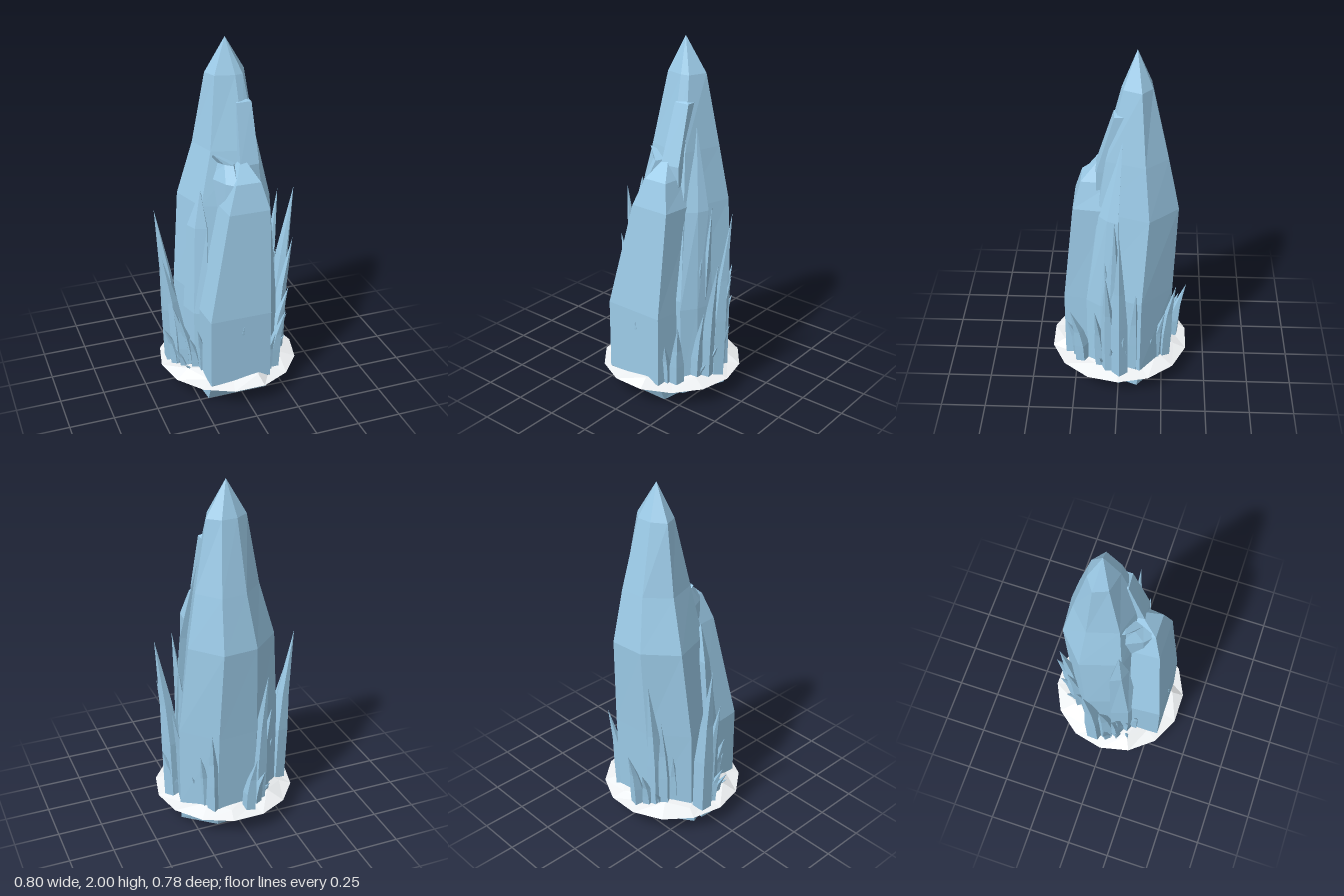
import * as THREE from 'three';

const ice = new THREE.MeshStandardMaterial({ color: 0x9ccbe8, flatShading: true });
const snow = new THREE.MeshStandardMaterial({ color: 0xeef1f3, flatShading: true, side: THREE.DoubleSide });

let seed = 11;
const rnd = () => (seed = (seed * 16807) % 2147483647) / 2147483647;

// Faceted solid through rings of points (clockwise seen from above), closed by a tip and a flat foot
function facetedMesh(name, rings, tip) {
  const pos = [], n = rings[0].length, top = rings[rings.length - 1];
  const tri = (...corners) => corners.forEach(c => pos.push(...c));
  const foot = [0, 1, 2].map(k => rings[0].reduce((sum, p) => sum + p[k], 0) / n);
  for (let i = 0; i < n; i++) {
    const j = (i + 1) % n;
    tri(foot, rings[0][i], rings[0][j]);
    for (let r = 0; r < rings.length - 1; r++) {
      const a = rings[r], b = rings[r + 1];
      tri(a[i], b[i], a[j]);
      tri(a[j], b[i], b[j]);
    }
    tri(top[i], tip, top[j]);
  }
  const geometry = new THREE.BufferGeometry();
  geometry.setAttribute('position', new THREE.Float32BufferAttribute(pos, 3));
  geometry.computeVertexNormals();
  const mesh = new THREE.Mesh(geometry, ice);
  mesh.name = name;
  return mesh;
}

// One x, z outline repeated at levels of [height, x scale, z scale, x shift, z shift]
function crystal(name, outline, levels, tip) {
  const rings = levels.map(([y, sx = 1, sz = 1, ox = 0, oz = 0]) =>
    outline.map(([x, z]) => [x * sx + ox, y, z * sz + oz]));
  return facetedMesh(name, rings, tip);
}

// Thin spike that leans outward to its tip, with uneven sides
function spike(name, x, y, z, r, lean = 0.78, base = 0.07) {
  const turn = rnd() * 6;
  const wobble = Array.from({ length: 5 }, () => 0.8 + 0.4 * rnd());
  const level = (t, size) => wobble.map((w, i) => {
    const a = turn + i / 5 * Math.PI * 2;
    const out = lean + (1 - lean) * t * t;
    return [x * out + Math.cos(a) * r * size * w,
      base + (y - base) * t * (0.85 + 0.15 * w),
      z * out + Math.sin(a) * r * size * w];
  });
  return facetedMesh(name, [level(0, 0.85), level(0.38, 0.85), level(0.62, 0.55)], [x, y, z]);
}

export function createModel() {
  const model = new THREE.Group();
  model.name = 'iceSpire';

  // Tall main crystal
  model.add(crystal('mainCrystal',
    [[-0.09, -0.28], [0.14, -0.3], [0.31, -0.13], [0.2, 0.17], [0.08, 0.2], [-0.2, 0.12], [-0.28, -0.12]],
    [[0, 1, 0.82, -0.01], [0.12, 1, 0.95], [0.6], [1.12, 0.85, 0.92, 0, -0.045],
      [1.42, 0.62, 0.7, 0.02, -0.05], [1.81, 0.38, 0.32, 0.02, -0.075]],
    [0.02, 2, -0.09]));

  // Broad crystal leaning against the front
  model.add(crystal('frontCrystal',
    [[-0.22, 0.04], [0.19, 0.05], [0.15, 0.31], [-0.08, 0.31], [-0.2, 0.31]],
    [[0, 1, 0.82], [0.12], [0.53], [1.13, 0.66, 0.8, 0.06], [1.28, 0.4, 0.66, 0.06]],
    [0.05, 1.4, 0.09]));

  // Flat upper slab and the wedge beside it
  model.add(crystal('upperSlab',
    [[0.02, 0], [0.14, 0], [0.14, 0.12], [0.03, 0.13]],
    [[1.05], [1.35], [1.67, 0.78, 0.5, 0.02, -0.035]],
    [0.08, 1.69, 0]));
  model.add(crystal('upperWedge',
    [[-0.12, 0.02], [0.04, 0.04], [-0.01, 0.2], [-0.06, 0.15]],
    [[1.1], [1.27], [1.36, 0.8, 0.65]],
    [-0.1, 1.41, 0.06]));

  // Narrow columns down both flanks
  model.add(crystal('leftColumn',
    [[0.12, 0], [0.3, 0], [0.27, 0.1], [0.21, 0.18]],
    [[0.07], [0.55, 0.96], [1.1, 0.84, 0.6]],
    [0.15, 1.55, -0.02]));
  model.add(crystal('rightColumn',
    [[-0.27, 0.03], [-0.12, 0.02], [-0.17, 0.17], [-0.24, 0.13]],
    [[0.07], [0.5], [1, 0.88, 0.6]],
    [-0.17, 1.21, 0.05]));

  // Spikes around the foot: tip x, y, z and radius, each with two shorter ones beside it
  const spikes = new THREE.Group();
  spikes.name = 'spikes';
  for (const [x, y, z, r] of [
    [0.4, 1.12, -0.01, 0.06], [-0.395, 1.07, -0.08, 0.065],
    [0.29, 1.14, 0.02, 0.05], [0.34, 0.7, -0.1, 0.045],
    [0.385, 0.44, -0.035, 0.035], [0.255, 0.5, 0.27, 0.05],
    [-0.32, 0.48, 0.09, 0.045], [-0.39, 0.37, 0.02, 0.035],
    [-0.24, 0.42, 0.19, 0.04], [-0.05, 0.48, -0.385, 0.045],
    [0.19, 0.65, -0.32, 0.045], [-0.14, 0.95, -0.31, 0.06],
  ]) {
    for (let k = 0; k < 3; k++) {
      const a = Math.atan2(z, x) + Math.sign(x) * 0.2 * k;
      const d = Math.hypot(x, z) * (1 - 0.06 * k);
      spikes.add(spike('spike', Math.cos(a) * d, y * (1 - 0.25 * k), Math.sin(a) * d, r * (1 - 0.15 * k)));
    }
  }
  spikes.add(spike('frontChip', -0.01, 0.47, 0.315, 0.014, 0.95, 0.4));
  model.add(spikes);

  // Thin faceted snow skirt, raised toward the crystals
  const sides = 14;
  const skirt = new THREE.RingGeometry(0.24, 0.4, sides, 2).rotateX(-Math.PI / 2);
  const p = skirt.attributes.position;
  for (let i = 0; i < p.count; i++) {
    const k = i % (sides + 1) % sides, row = Math.floor(i / (sides + 1));
    const s = row === 1 ? 0.96 + 0.08 * Math.sin(k * 2.4) : 1;
    p.setXYZ(i, p.getX(i) * s, [0.15, 0.135 + 0.015 * Math.sin(k * 4.1), 0.11][row], p.getZ(i) * s);
  }
  const skirtMesh = new THREE.Mesh(skirt.toNonIndexed(), snow);
  skirtMesh.geometry.computeVertexNormals();
  skirtMesh.name = 'snowSkirt';
  model.add(skirtMesh);

  return model;
}
